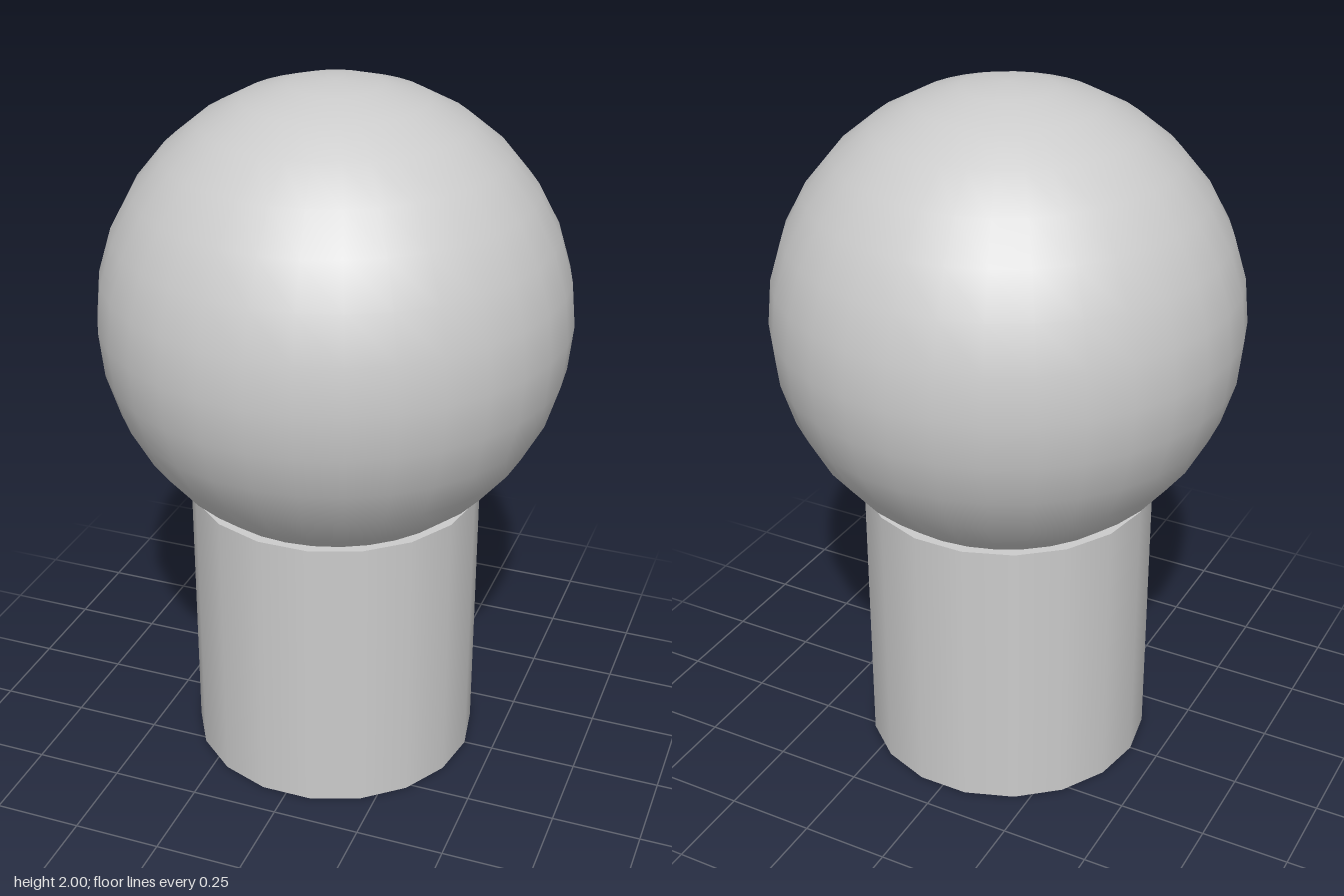
import * as THREE from 'three';

export function createModel() {
  const model = new THREE.Group();
  const material = new THREE.MeshStandardMaterial({ color: 0xcccccc });

  // Upright cylindrical stand, with a side corner on the x axis
  const height = 0.83;
  const stand = new THREE.Mesh(
    new THREE.CylinderGeometry(0.415, 0.415, height, 18, 1, false, Math.PI / 2),
    material
  );
  stand.name = 'stand';
  stand.position.y = height / 2;

  // Ball sunk slightly into the top of the stand
  const radius = 0.65;
  const ball = new THREE.Mesh(new THREE.SphereGeometry(radius, 32, 16), material);
  ball.name = 'ball';
  ball.position.y = 2 - radius;

  model.add(stand, ball);
  return model;
}
